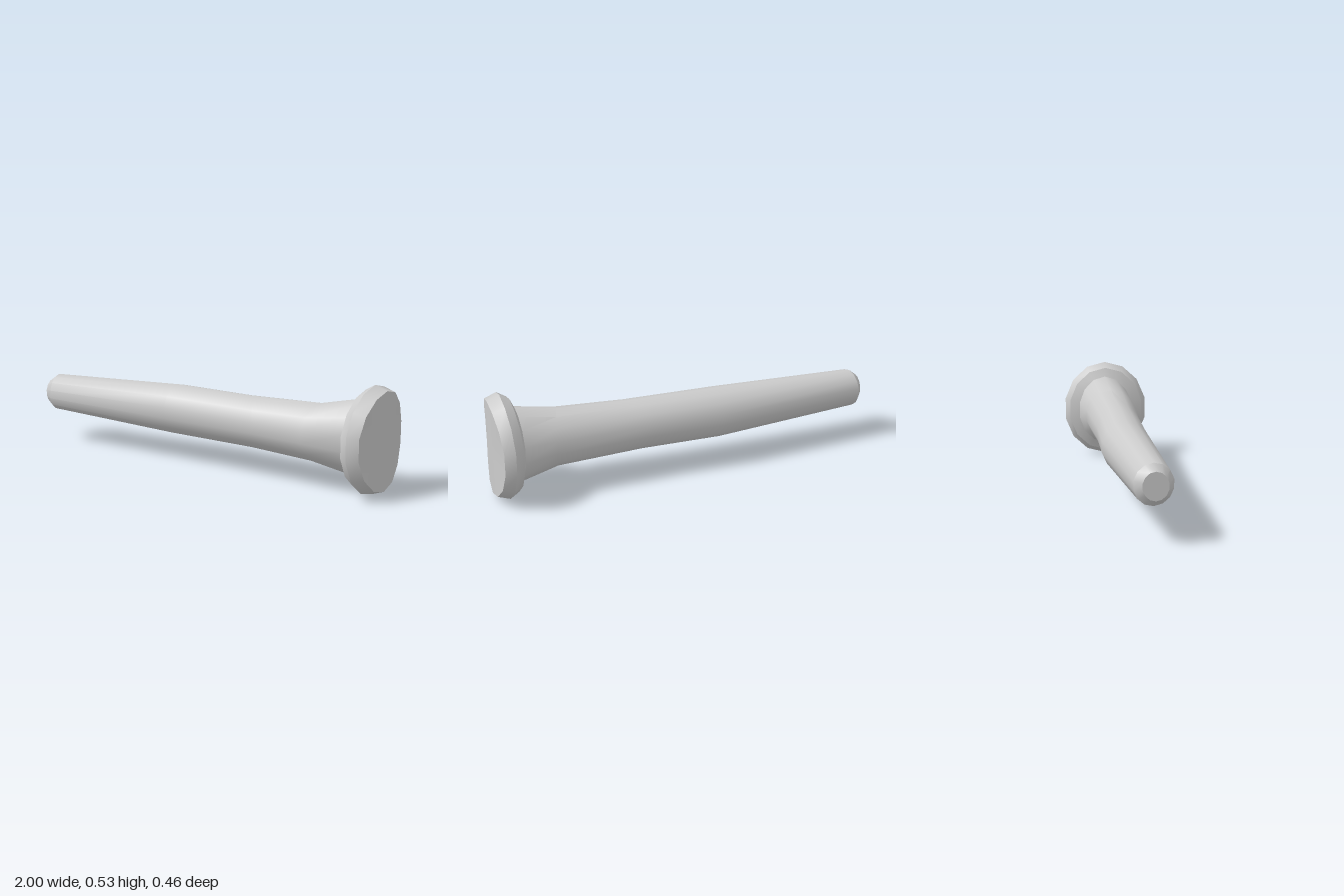
import * as THREE from 'three';
import { toCreasedNormals } from 'three/addons/utils/BufferGeometryUtils.js';

const SIDES = 14;
const MID_Y = 0.268;

// Each section: x, centre z, half depth rz, half height ry,
// tilt (x shift towards +z) and bow (x shift along the middle).
const HANDLE = [
  [-1.0, -0.025, 0.06, 0.066, 0, 0],
  [-0.96, -0.028, 0.094, 0.097, 0.01, 0],
  [-0.18, -0.036, 0.122, 0.13, -0.015, 0],
  [0.27, -0.012, 0.126, 0.13, 0.07, 0],
  [0.66, 0.002, 0.139, 0.145, -0.04, 0],
  [0.857, -0.008, 0.149, 0.191, -0.008, 0.01],
];
const HEAD = [
  HANDLE[HANDLE.length - 1],
  [0.873, -0.002, 0.209, 0.238, -0.012, 0.015],
  [0.915, 0, 0.234, 0.266, -0.015, 0.02],
  [0.97, 0, 0.217, 0.244, -0.012, 0.028],
];

// Skins a run of elliptical sections, with optional flat ends
function loft(sections, capStart, capEnd) {
  const pos = [], index = [];
  for (const [x, zc, rz, ry, tilt, bow] of sections) {
    for (let i = 0; i < SIDES; i++) {
      const a = Math.PI / 2 + (i / SIDES) * Math.PI * 2;
      const c = Math.cos(a), s = Math.sin(a);
      pos.push(x + tilt * c + bow * (1 - c * c), MID_Y + ry * s, zc + rz * c);
    }
  }
  for (let k = 0; k < sections.length - 1; k++) {
    for (let i = 0; i < SIDES; i++) {
      const j = (i + 1) % SIDES;
      const a = k * SIDES + i, d = k * SIDES + j;
      const b = a + SIDES, c = d + SIDES;
      index.push(a, b, c, a, c, d);
    }
  }
  const cap = (k, flip) => {
    const [x, zc, , , , bow] = sections[k];
    const centre = pos.length / 3;
    pos.push(x + bow, MID_Y, zc);
    for (let i = 0; i < SIDES; i++) {
      const a = k * SIDES + i, b = k * SIDES + ((i + 1) % SIDES);
      if (flip) index.push(centre, b, a);
      else index.push(centre, a, b);
    }
  };
  if (capStart) cap(0, false);
  if (capEnd) cap(sections.length - 1, true);
  const geo = new THREE.BufferGeometry();
  geo.setAttribute('position', new THREE.Float32BufferAttribute(pos, 3));
  geo.setIndex(index);
  return toCreasedNormals(geo, 0.56);
}

export function createModel() {
  const group = new THREE.Group();
  group.name = 'curvedHandle';
  const material = new THREE.MeshStandardMaterial({ color: 0xcccccc });

  // Slightly bent, tapering grip with a chamfered tip
  const grip = new THREE.Mesh(loft(HANDLE, true, false), material);
  grip.name = 'grip';

  // Flared knob with a bevelled rim and a closed end face
  const knob = new THREE.Mesh(loft(HEAD, false, true), material);
  knob.name = 'knob';

  group.add(grip, knob);
  return group;
}
